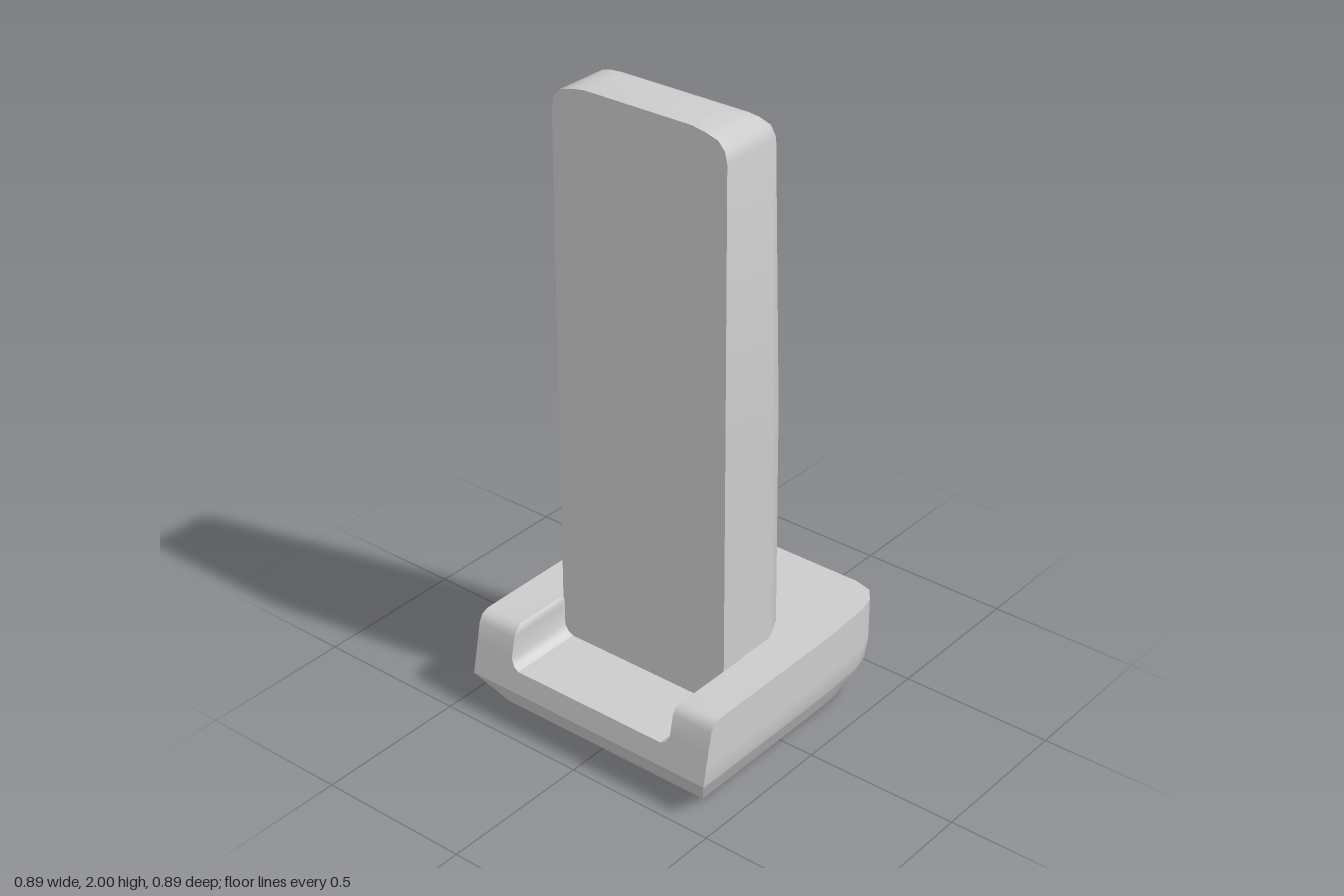
import * as THREE from 'three';
import { toCreasedNormals } from 'three/addons/utils/BufferGeometryUtils.js';

// Right half outline (front to back) mirrored into a full closed outline
const mirror = half => [...half, ...half.slice().reverse().map(([x, z]) => [-x, z])];

// Solid through horizontal outlines, each { y, pts: [[x, z], ...] }
function loft(sections, crease) {
  const pos = [];
  const put = (s, i) => pos.push(s.pts[i][0], s.y, s.pts[i][1]);
  const n = sections[0].pts.length;
  for (let k = 0; k + 1 < sections.length; k++) {
    const lo = sections[k], hi = sections[k + 1];
    for (let i = 0; i < n; i++) {
      const j = (i + 1) % n;
      put(lo, i); put(lo, j); put(hi, j);
      put(lo, i); put(hi, j); put(hi, i);
    }
  }
  const cap = (s, up) => {
    const contour = s.pts.map(([x, z]) => new THREE.Vector2(x, -z));
    for (const [a, b, c] of THREE.ShapeUtils.triangulateShape(contour, [])) {
      for (const i of up ? [a, b, c] : [c, b, a]) put(s, i);
    }
  };
  cap(sections[0], false);
  cap(sections[sections.length - 1], true);
  const geo = new THREE.BufferGeometry();
  geo.setAttribute('position', new THREE.Float32BufferAttribute(pos, 3));
  return toCreasedNormals(geo, crease);
}

// Linear lookup in a small profile of [y, value]
function at(profile, y) {
  for (let i = 1; i < profile.length; i++) {
    const [y0, v0] = profile[i - 1], [y1, v1] = profile[i];
    if (y <= y1) return v0 + (v1 - v0) * (y - y0) / (y1 - y0);
  }
  return profile[profile.length - 1][1];
}

const sideX = [[0, 0.38], [0.12, 0.445]];
const frontZ = [[0, 0.365], [0.12, 0.445], [0.29, 0.41], [0.31, 0.398], [0.32, 0.375]];
const recessX = [[0.19, 0.275], [0.2, 0.293], [0.22, 0.305], [0.31, 0.305], [0.32, 0.312]];
const notchX = 0.24;

// Rounded rear corner at the foot and at full width
const cornerLow = [[0.38, -0.15], [0.378, -0.27], [0.365, -0.32], [0.335, -0.355], [0.29, -0.375]];
const cornerHigh = [[0.445, -0.15], [0.435, -0.33], [0.42, -0.39], [0.39, -0.43], [0.33, -0.445]];

// Right half of the base outline at height y
function baseHalf(y) {
  const t = Math.min(y / 0.18, 1);
  const w = at(sideX, y);
  const corner = cornerLow.map(([x, z], i) => [
    w + THREE.MathUtils.lerp(x - 0.38, cornerHigh[i][0] - 0.445, t),
    THREE.MathUtils.lerp(z, cornerHigh[i][1], t),
  ]);
  return [[w, at(frontZ, y)], ...corner, [notchX, -0.42 - 0.025 * Math.min(y / 0.06, 1)]];
}

export function createModel() {
  const group = new THREE.Group();
  const material = new THREE.MeshStandardMaterial({ color: 0xcccccc });
  const add = (name, geo, parent) => {
    const mesh = new THREE.Mesh(geo, material);
    mesh.name = name;
    parent.add(mesh);
  };

  const base = new THREE.Group();
  base.name = 'base';
  group.add(base);

  // Foot with the cable notch open to the rear and below
  const notch = [[notchX, -0.25], [0.232, -0.23], [0.21, -0.22]];
  add('baseFoot', loft([0, 0.06, 0.1].map(y =>
    ({ y, pts: mirror([...baseHalf(y), ...notch]) })), 0.7), base);

  // Solid middle, its top is the recess floor
  add('baseMiddle', loft([0.1, 0.12, 0.18, 0.19].map(y =>
    ({ y, pts: mirror(baseHalf(y)) })), 0.7), base);

  // Upper rim wrapping around the recess that opens to the front
  add('baseRim', loft([0.19, 0.2, 0.22, 0.29, 0.31, 0.32].map(y => {
    const r = at(recessX, y);
    return { y, pts: mirror([[r, 0.1], [r, at(frontZ, y)], ...baseHalf(y)]) };
  }), 0.7), base);

  // Upright: flat front, rounded back that tapers towards the top
  const upright = [
    // y, side x, side z, corner x, corner z, back x, back z
    [0.185, 0.31, -0.035, 0.27, -0.12, 0.175, -0.163],
    [1.05, 0.308, -0.03, 0.268, -0.112, 0.17, -0.15],
    [1.92, 0.305, -0.015, 0.293, -0.042, 0.25, -0.053],
    [1.955, 0.297, -0.01, 0.282, -0.033, 0.24, -0.043],
    [1.98, 0.275, 0.005, 0.26, -0.01, 0.22, -0.017],
    [1.993, 0.23, 0.035, 0.22, 0.02, 0.2, 0.015],
    [2, 0.185, 0.065, 0.18, 0.06, 0.17, 0.055],
  ];
  add('upright', loft(upright.map(([y, sx, sz, cx, cz, bx, bz]) =>
    ({ y, pts: mirror([[sx, 0.183], [sx, sz], [cx, cz], [bx, bz]]) })), 0.9), group);

  return group;
}
